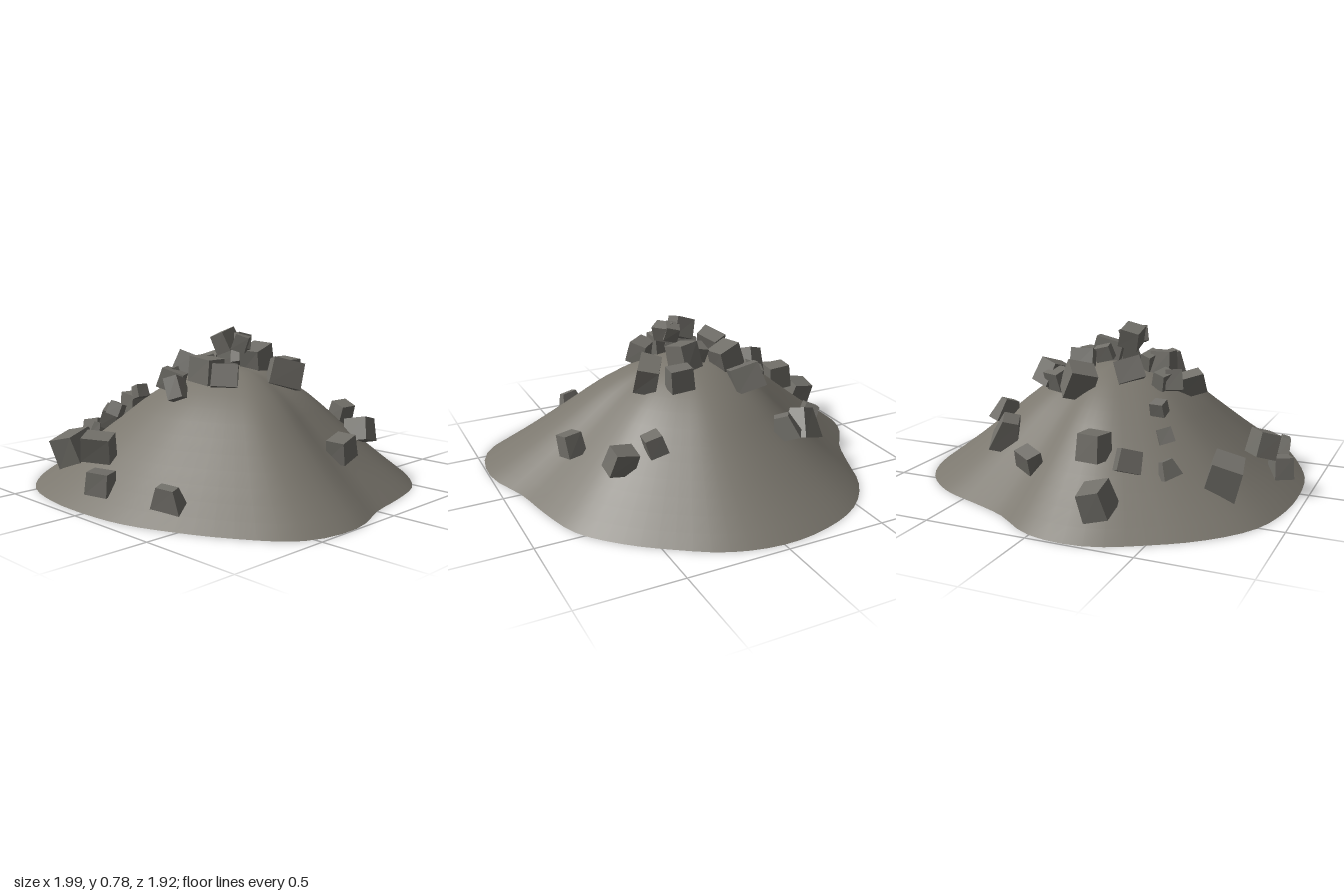
import * as THREE from 'three';

const moundGrey = new THREE.MeshStandardMaterial({ color: 0x7b776e });
moundGrey.name = 'moundGrey';
const rockGrey = new THREE.MeshStandardMaterial({ color: 0x716f69, flatShading: true });
rockGrey.name = 'rockGrey';

// Smooth curve through evenly spaced values
const smooth = (values, closed) =>
  new THREE.CatmullRomCurve3(values.map((v) => new THREE.Vector3(v, 0, 0)), closed, 'catmullrom');

// Base radius every 15 degrees, turning from +x towards +z
const radius = smooth([
  0.91, 1.03, 1.085, 1.02, 0.972, 0.96, 0.955, 0.978, 1.013, 1.01, 1.003, 1.016,
  0.965, 0.85, 0.845, 0.905, 0.95, 0.96, 0.96, 0.94, 0.905, 0.903, 0.914, 0.893,
], true);
// Height at even steps from apex to rim
const slope = smooth([0.58, 0.548, 0.447, 0.295, 0.142, 0], false);

const radiusAt = (turn) => radius.getPoint(turn).x;
const heightAt = (t) => slope.getPoint(t).x;

// Height of the mound's surface above a point on the ground
function groundAt(x, z) {
  const turn = (Math.atan2(z, x) / (2 * Math.PI) + 1) % 1;
  return heightAt(Math.min(1, Math.hypot(x, z) / radiusAt(turn)));
}

// Point on the mound, t from apex to rim
function moundPoint(turn, t) {
  const r = radiusAt(turn) * t;
  const a = turn * 2 * Math.PI;
  return [r * Math.cos(a), heightAt(t), r * Math.sin(a)];
}

const SEGMENTS = 72;
const RINGS = 14;

function moundGeometry() {
  const pos = moundPoint(0, 0);
  const index = [];
  for (let i = 1; i <= RINGS; i++) {
    for (let j = 0; j < SEGMENTS; j++) {
      pos.push(...moundPoint(j / SEGMENTS, i / RINGS));
      const a = 1 + (i - 1) * SEGMENTS + j;
      const b = 1 + (i - 1) * SEGMENTS + ((j + 1) % SEGMENTS);
      if (i === 1) index.push(0, b, a);
      else index.push(a - SEGMENTS, b, a, a - SEGMENTS, b - SEGMENTS, b);
    }
  }
  const g = new THREE.BufferGeometry();
  g.setAttribute('position', new THREE.Float32BufferAttribute(pos, 3));
  g.setIndex(index);
  g.computeVertexNormals();
  return g;
}

// Flat underside
function undersideGeometry() {
  const rim = [];
  for (let j = 0; j < SEGMENTS; j++) {
    const [x, , z] = moundPoint(j / SEGMENTS, 1);
    rim.push(new THREE.Vector2(x, z));
  }
  return new THREE.ShapeGeometry(new THREE.Shape(rim)).rotateX(Math.PI / 2);
}

// Box with a narrowed top and slightly uneven corners
function rockGeometry(w, h, d, taper, seed) {
  const g = new THREE.BoxGeometry(w, h, d);
  const p = g.attributes.position;
  for (let i = 0; i < p.count; i++) {
    const x = p.getX(i), y = p.getY(i), z = p.getZ(i);
    const corner = (x > 0 ? 1 : 0) + (y > 0 ? 2 : 0) + (z > 0 ? 4 : 0);
    const k = (y > 0 ? taper : 1) * (1 + 0.07 * Math.sin(seed * 7.3 + corner * 2.9));
    p.setXYZ(i, x * k, y, z * k);
  }
  g.computeVertexNormals();
  return g;
}

// Each rock: x, z, width, depth, yaw in degrees
const SUMMIT = [
  [-0.28, -0.09, 0.14, 0.14, 42], [-0.14, -0.13, 0.13, 0.11, 15], [-0.02, -0.07, 0.06, 0.09, 0],
  [0.07, -0.09, 0.11, 0.15, 12], [0.15, -0.22, 0.12, 0.1, -5], [0.26, -0.09, 0.11, 0.16, -32],
  [-0.18, -0.28, 0.15, 0.1, -20], [-0.24, -0.22, 0.09, 0.1, -25], [-0.2, 0.14, 0.09, 0.13, 30],
  [-0.01, 0.18, 0.1, 0.06, -15], [0.03, 0.23, 0.14, 0.11, 4], [0.16, 0.23, 0.13, 0.09, 42],
  [-0.14, 0.3, 0.09, 0.07, -20], [-0.1, 0.33, 0.12, 0.08, 28], [-0.01, 0.38, 0.07, 0.15, 30],
];
const RAISED = [
  [0.01, 0.07, 0.1, 0.1, 5], [0.11, 0.06, 0.07, 0.09, 35],
  [0.08, 0.03, 0.07, 0.08, -20], [-0.1, 0.79, 0.14, 0.1, 35],
];
const SLOPE = [
  [-0.63, -0.18, 0.08, 0.11, -25], [0.38, -0.41, 0.09, 0.1, -8], [0.53, -0.37, 0.13, 0.1, 4],
  [0.66, -0.05, 0.1, 0.12, 8], [-0.63, 0.15, 0.13, 0.12, -5], [-0.84, 0.26, 0.14, 0.12, 2],
  [-0.63, 0.32, 0.09, 0.11, 35], [-0.33, 0.35, 0.06, 0.07, -8], [-0.44, 0.42, 0.07, 0.07, 30],
  [-0.42, 0.7, 0.16, 0.15, 12], [0, 0.86, 0.11, 0.1, 30],
];
const WEDGES = [
  [-0.44, -0.4, 0.16, 0.14, 30], [-0.27, -0.5, 0.13, 0.1, -35],
  [-0.55, 0.48, 0.1, 0.06, -40], [0.38, 0.78, 0.16, 0.08, 14],
];

// Rocks rest on the mound at the given lift, each with its own tilt
function rockSet(name, rows, lift, taper) {
  const set = new THREE.Group();
  set.name = name + 's';
  rows.forEach(([x, z, w, d, yaw], i) => {
    const rock = new THREE.Mesh(rockGeometry(w, (w + d) / 2, d, taper, i + 1), rockGrey);
    rock.name = name;
    rock.position.set(x, groundAt(x, z) + lift, z);
    rock.rotation.set(
      0.3 * Math.sin(i * 2.1 + 1),
      THREE.MathUtils.degToRad(yaw),
      0.35 * Math.cos(i * 2.7),
      'YXZ',
    );
    set.add(rock);
  });
  return set;
}

export function createModel() {
  const model = new THREE.Group();
  model.name = 'rubbleMound';

  // Mound and its base
  const mound = new THREE.Mesh(moundGeometry(), moundGrey);
  mound.name = 'mound';
  const underside = new THREE.Mesh(undersideGeometry(), moundGrey);
  underside.name = 'underside';

  // Scattered rocks
  model.add(
    mound,
    underside,
    rockSet('summitRock', SUMMIT, 0.05, 0.95),
    rockSet('raisedRock', RAISED, 0.14, 0.95),
    rockSet('slopeRock', SLOPE, 0.055, 0.92),
    rockSet('wedgeRock', WEDGES, 0.035, 0.55),
  );
  return model;
}
